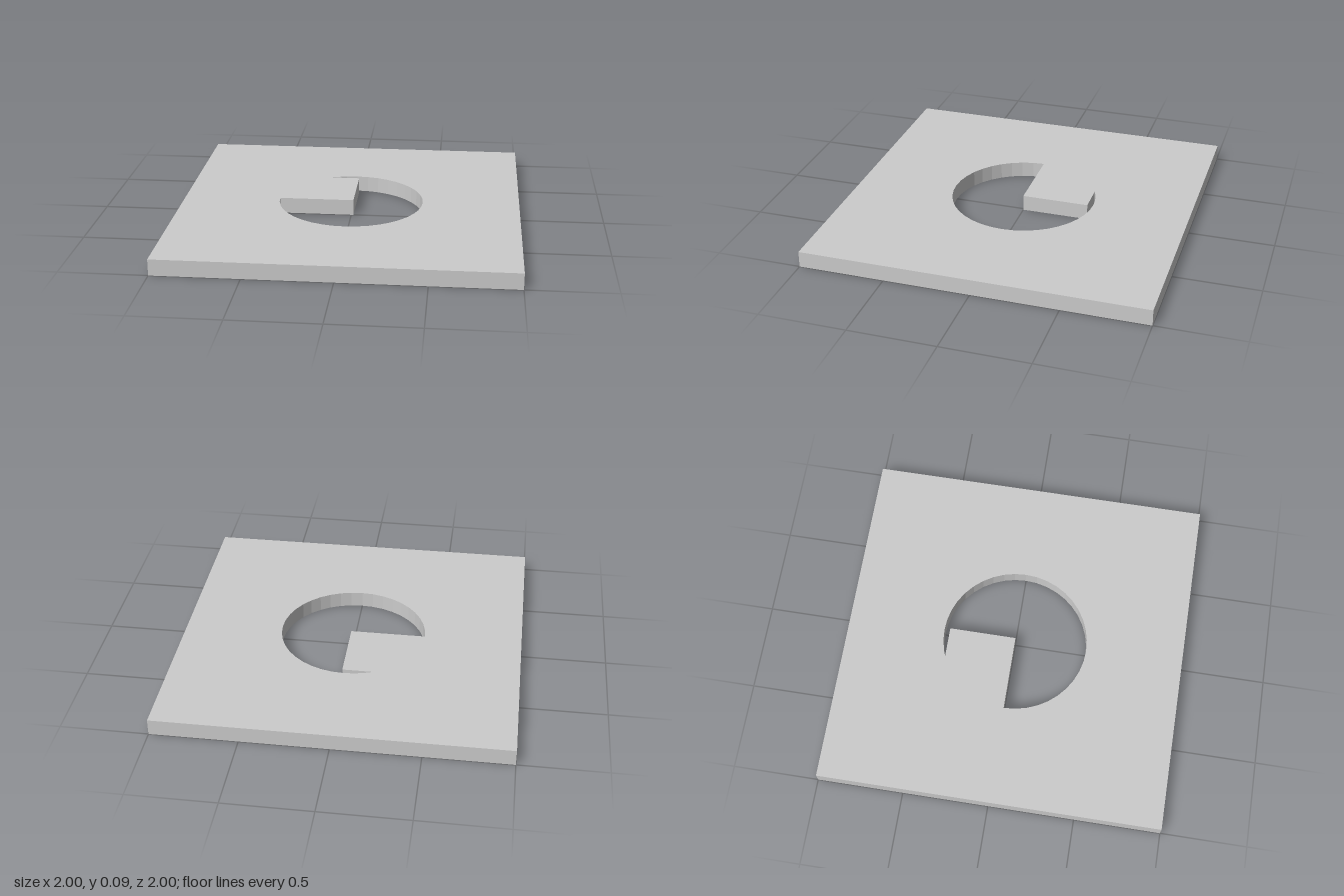
import * as THREE from 'three';

const HALF = 1, THICKNESS = 0.094;
const RADIUS = 0.428, SEGMENTS = 40;
const TAB_X = 0.013, TAB_BACK = 0.395;

export function createModel() {
  const group = new THREE.Group();
  group.name = 'plateWithCutout';

  // Square outline, drawn with shape y pointing to the back
  const outline = new THREE.Shape([
    new THREE.Vector2(-HALF, -HALF),
    new THREE.Vector2(HALF, -HALF),
    new THREE.Vector2(HALF, HALF),
    new THREE.Vector2(-HALF, HALF),
  ]);

  // Round hole, interrupted by a rectangular tab from the left in the back quarter
  const end = 2 * Math.PI + Math.PI - Math.asin(TAB_BACK / RADIUS);
  const step = (2 * Math.PI) / SEGMENTS;
  const points = [];
  const addArcPoint = (a) => points.push(new THREE.Vector2(RADIUS * Math.cos(a), RADIUS * Math.sin(a)));
  for (let a = Math.PI; a < end - 0.01; a += step) addArcPoint(a);
  addArcPoint(end);
  points.push(new THREE.Vector2(TAB_X, TAB_BACK), new THREE.Vector2(TAB_X, 0));
  outline.holes.push(new THREE.Path(points));

  // Flat plate lying on the ground
  const geometry = new THREE.ExtrudeGeometry(outline, { depth: THICKNESS, bevelEnabled: false });
  geometry.rotateX(-Math.PI / 2);
  const plate = new THREE.Mesh(
    geometry,
    new THREE.MeshStandardMaterial({ color: 0xcccccc, flatShading: true })
  );
  plate.name = 'plate';
  group.add(plate);
  return group;
}
